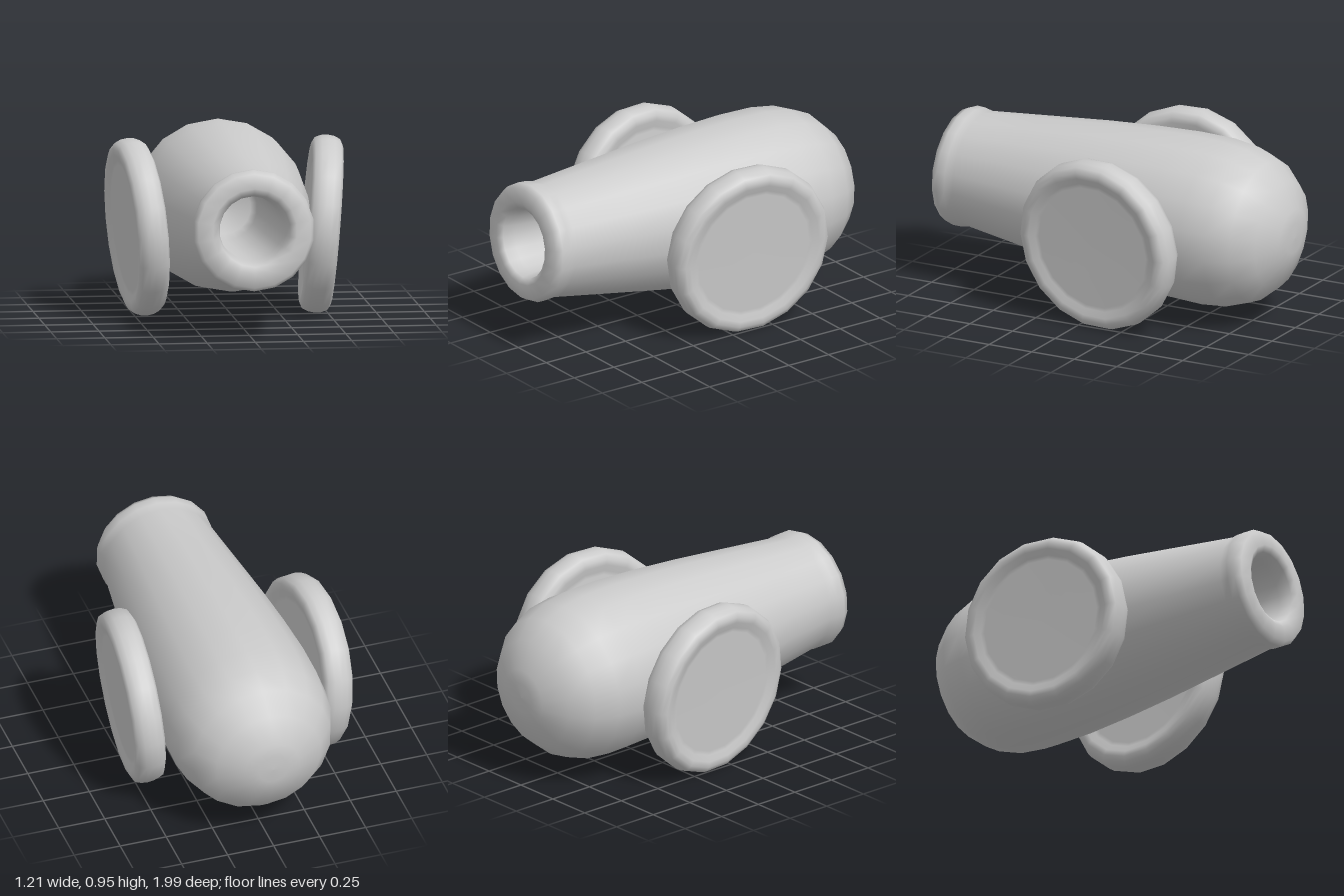
import * as THREE from 'three';

const SIDES = 18;
const lathe = (points) =>
  new THREE.LatheGeometry(points.map(([r, h]) => new THREE.Vector2(r, h)), SIDES);

export function createModel() {
  const model = new THREE.Group();
  const material = new THREE.MeshStandardMaterial({ color: 0xcccccc });

  // Barrel: rounded breech, tapering tube, flared muzzle lip, then the bore inside
  const barrelGeometry = lathe([
    [0, -1], [0.08, -0.997], [0.15, -0.985], [0.285, -0.92], [0.375, -0.815], [0.42, -0.69],
    [0.436, -0.55], [0.433, -0.35], [0.415, -0.1], [0.387, 0.18], [0.345, 0.52], [0.304, 0.85],
    [0.313, 0.895], [0.314, 0.94], [0.295, 0.975], [0.22, 0.985],
    [0.187, 0.965], [0.174, 0.9], [0.168, 0.8], [0.166, 0.2], [0.164, -0.25],
    [0.135, -0.29], [0, -0.3],
  ]);
  barrelGeometry.rotateX(Math.PI / 2);
  const barrel = new THREE.Mesh(barrelGeometry, material);
  barrel.name = 'barrel';
  barrel.position.y = 0.535;
  barrel.rotation.x = -0.045;
  model.add(barrel);

  // Wheel profile: rounded rim around a shallow recessed disc, the same on both faces
  const half = [
    [0, 0.06], [0.33, 0.062], [0.352, 0.064], [0.385, 0.078],
    [0.415, 0.08], [0.442, 0.066], [0.456, 0.034],
  ];
  const wheelGeometry = lathe([
    ...half.map(([r, h]) => [r, -h]),
    [0.46, 0],
    ...half.slice().reverse(),
  ]);
  wheelGeometry.rotateZ(-Math.PI / 2);

  // Wheels lean out at the top and toe in at the front
  for (const side of [1, -1]) {
    const wheel = new THREE.Mesh(wheelGeometry, material);
    wheel.name = side > 0 ? 'leftWheel' : 'rightWheel';
    wheel.position.set(side * 0.477, 0.457, -0.108);
    wheel.rotation.set(0, side * -0.083, side * -0.083);
    model.add(wheel);
  }

  return model;
}
